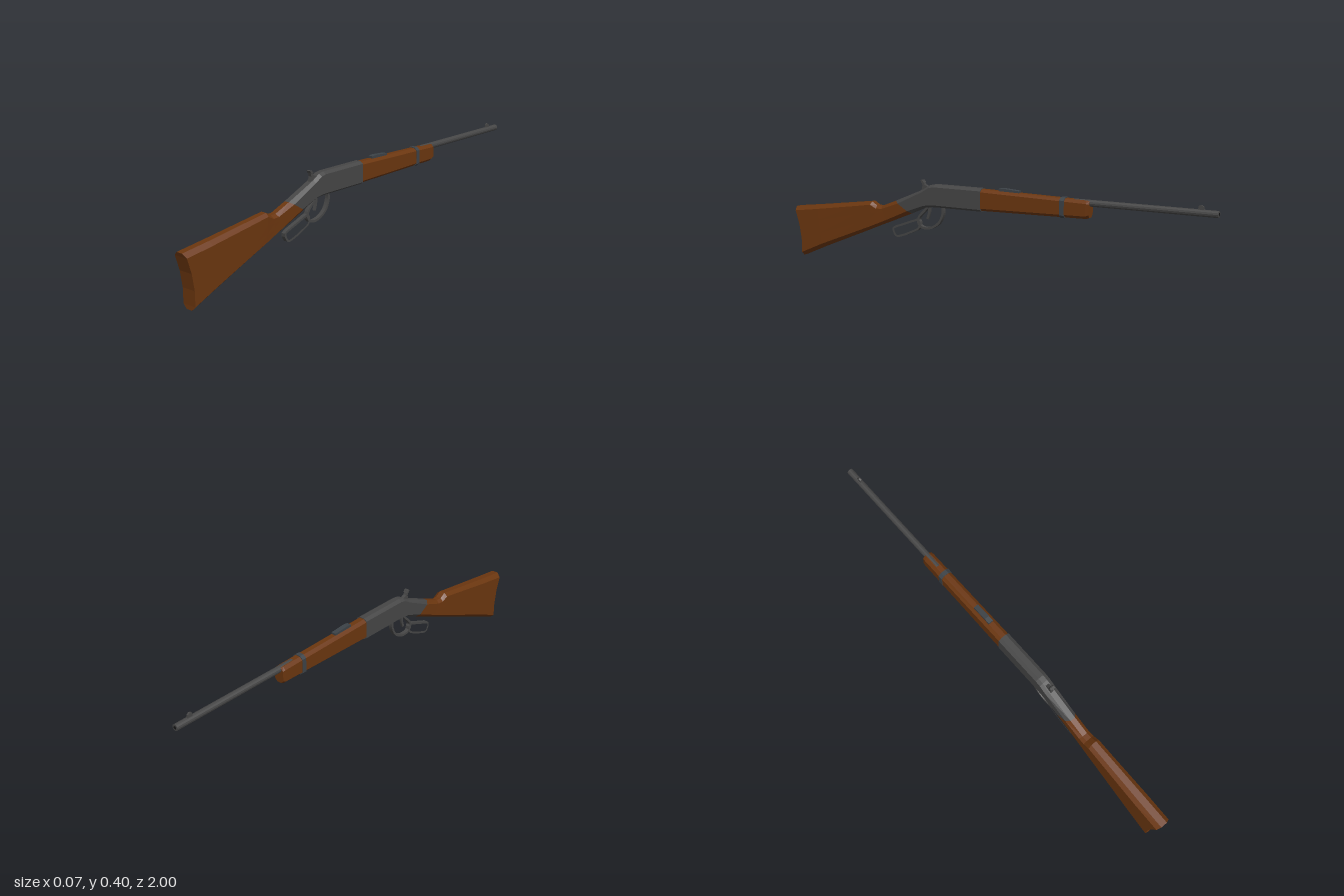
import * as THREE from 'three';

const paint = (color) => new THREE.MeshStandardMaterial({ color, flatShading: true });

// Chamfered body lofted through slanted stations: [topZ, topY, bottomZ, bottomY, halfWidth, chamfer, bow]
function loft(stations) {
  const rings = stations.map(([zt, yt, zb, yb, w, c, bow = 0]) => {
    const h = yt - yb, f = c / h;
    const right = [0, f, 0.35, 0.65, 1 - f, 1].map((t, i) => {
      const x = i === 0 || i === 5 ? w * 0.45 : w;
      return new THREE.Vector3(x, yb + h * t, zb + (zt - zb) * t - bow * 4 * t * (1 - t));
    });
    const left = right.map((p) => new THREE.Vector3(-p.x, p.y, p.z)).reverse();
    return [...right, ...left];
  });
  const pos = [];
  const quad = (a, b, c, d) => [a, b, c, a, c, d].forEach((p) => pos.push(p.x, p.y, p.z));
  for (let i = 0; i < rings.length - 1; i++) {
    for (let j = 0; j < 12; j++) {
      const k = (j + 1) % 12;
      quad(rings[i][j], rings[i + 1][j], rings[i + 1][k], rings[i][k]);
    }
  }
  const first = rings[0], last = rings[rings.length - 1];
  for (let k = 0; k < 5; k++) {
    quad(first[k], first[k + 1], first[10 - k], first[11 - k]);
    quad(last[11 - k], last[10 - k], last[k + 1], last[k]);
  }
  const g = new THREE.BufferGeometry();
  g.setAttribute('position', new THREE.Float32BufferAttribute(pos, 3));
  g.computeVertexNormals();
  return g;
}

// Side outline in (z, y), given a thickness across x
function plate(shape, width) {
  const g = new THREE.ExtrudeGeometry(shape, { depth: width, bevelEnabled: false });
  return g.translate(0, 0, -width / 2).rotateY(-Math.PI / 2);
}
const outline = (pts) => new THREE.Shape(pts.map(([z, y]) => new THREE.Vector2(z, y)));

// Flat metal strap following a smooth path in (z, y)
function strap(pts, thick, width, closed = false) {
  const curve = new THREE.CatmullRomCurve3(
    pts.map(([z, y]) => new THREE.Vector3(z, y, 0)), closed, 'catmullrom', closed ? 0.3 : 0.5);
  const n = 32, sides = [[], []];
  for (let i = 0; i < (closed ? n : n + 1); i++) {
    const p = curve.getPointAt(i / n), t = curve.getTangentAt(i / n);
    [1, -1].forEach((s, k) => sides[k].push(
      new THREE.Vector2(p.x - t.y * s * thick / 2, p.y + t.x * s * thick / 2)));
  }
  if (!closed) return plate(new THREE.Shape([...sides[0], ...sides[1].reverse()]), width);
  const area = (a) => Math.abs(THREE.ShapeUtils.area(a));
  sides.sort((a, b) => area(b) - area(a));
  const shape = new THREE.Shape(sides[0]);
  shape.holes.push(new THREE.Path(sides[1]));
  return plate(shape, width);
}

export function createModel() {
  const model = new THREE.Group();
  const wood = paint(0x6b360f), metal = paint(0x464646), bandMetal = paint(0x3c4247);
  const add = (name, geometry, material, x = 0, y = 0, z = 0) => {
    const m = new THREE.Mesh(geometry, material);
    m.name = name;
    m.position.set(x, y, z);
    model.add(m);
    return m;
  };

  // Wooden furniture
  add('stock', loft([
    [1.0, 0.23, 0.965, 0.002, 0.033, 0.017, 0.015],
    [0.87, 0.246, 0.85, 0.052, 0.033, 0.016],
    [0.65, 0.276, 0.65, 0.134, 0.029, 0.014],
    [0.577, 0.286, 0.595, 0.157, 0.028, 0.013],
    [0.55, 0.27, 0.545, 0.178, 0.027, 0.012],
    [0.525, 0.27, 0.49, 0.2, 0.026, 0.011],
    [0.45, 0.3, 0.37, 0.25, 0.026, 0.01],
  ]), wood);
  add('forend', loft([
    [0.02, 0.383, 0.02, 0.291, 0.025, 0.011],
    [-0.46, 0.374, -0.46, 0.299, 0.024, 0.012],
    [-0.473, 0.373, -0.473, 0.304, 0.023, 0.013],
  ]), wood);

  // Receiver and barrel
  add('receiver', loft([
    [0.45, 0.3, 0.37, 0.25, 0.0262, 0.01],
    [0.31, 0.36, 0.3, 0.281, 0.0262, 0.01],
    [0.275, 0.381, 0.265, 0.286, 0.0262, 0.01],
    [0.25, 0.386, 0.24, 0.287, 0.0262, 0.01],
    [0.02, 0.386, 0.02, 0.287, 0.0262, 0.01],
  ]), metal);
  add('barrel', new THREE.CylinderGeometry(0.014, 0.014, 0.6, 12).rotateX(Math.PI / 2), metal, 0, 0.363, -0.7);
  add('muzzleBore', new THREE.CircleGeometry(0.007, 12).rotateY(Math.PI), paint(0x151515), 0, 0.363, -1.0005);
  add('barrelBand', loft([
    [-0.346, 0.379, -0.346, 0.294, 0.0265, 0.012],
    [-0.366, 0.379, -0.366, 0.294, 0.0265, 0.012],
  ]), bandMetal);

  // Sights
  add('rearSight', plate(outline([
    [-0.06, 0.376], [-0.06, 0.391], [-0.085, 0.393], [-0.155, 0.388], [-0.155, 0.374]]), 0.022), bandMetal);
  add('frontSight', plate(outline([
    [-0.917, 0.372], [-0.92, 0.39], [-0.93, 0.394], [-0.94, 0.388], [-0.943, 0.372]]), 0.008), metal);

  // Hammer with a wider thumb spur
  add('hammer', plate(outline([
    [0.275, 0.35], [0.285, 0.372], [0.304, 0.381], [0.312, 0.399], [0.321, 0.396],
    [0.315, 0.376], [0.325, 0.34]]), 0.015), metal);
  add('hammerSpur', plate(outline([
    [0.307, 0.391], [0.315, 0.401], [0.324, 0.4], [0.318, 0.388]]), 0.021), metal);

  // Trigger, guard and lever loop
  add('trigger', strap([[0.283, 0.29], [0.285, 0.26], [0.294, 0.23]], 0.011, 0.009), metal);
  add('triggerGuard', strap([
    [0.215, 0.292], [0.215, 0.258], [0.235, 0.218], [0.275, 0.193], [0.315, 0.19],
    [0.338, 0.208], [0.335, 0.236], [0.305, 0.268], [0.285, 0.288]], 0.01, 0.018), metal);
  add('leverLoop', strap([
    [0.338, 0.224], [0.4, 0.203], [0.46, 0.181], [0.47, 0.17], [0.46, 0.146],
    [0.445, 0.14], [0.4, 0.155], [0.345, 0.18], [0.332, 0.195]], 0.009, 0.018, true), metal);

  return model;
}
